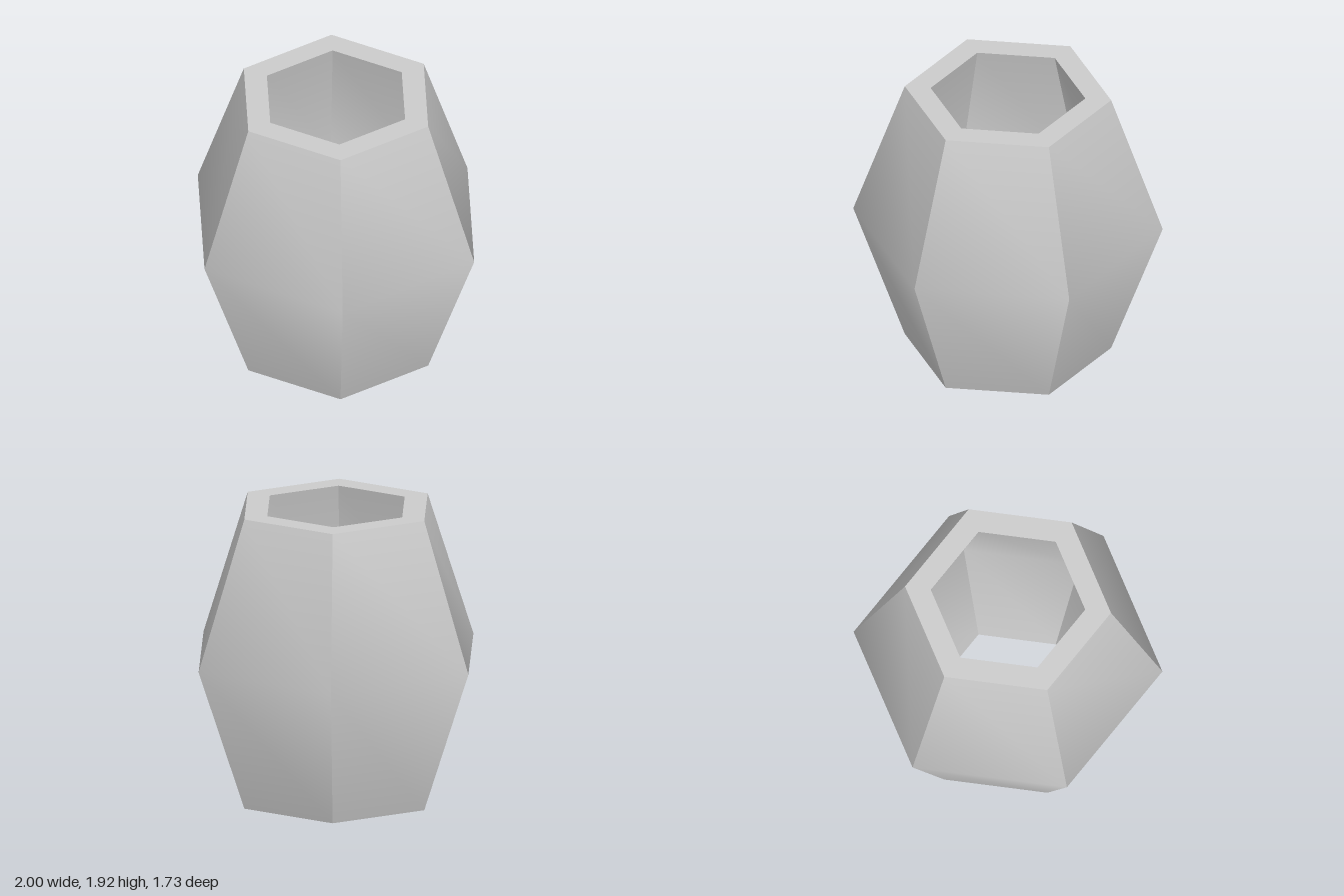
import * as THREE from 'three';
import { toCreasedNormals } from 'three/addons/utils/BufferGeometryUtils.js';

const HEIGHT = 1.925;
const BELLY = 0.95; // height of the widest ring

export function createModel() {
  const group = new THREE.Group();
  group.name = 'hexagonalBarrel';

  // Closed wall section: up the outside, across the top rim, down the bore, across the bottom rim
  const profile = [
    [0.667, 0], [1, BELLY], [0.667, HEIGHT],
    [0.5, HEIGHT], [0.75, BELLY], [0.5, 0], [0.667, 0],
  ].map(([r, y]) => new THREE.Vector2(r, y));

  // Six sides with corners on the x axis; smooth over the belly, sharp between sides
  const lathe = new THREE.LatheGeometry(profile, 6, Math.PI / 2);
  const geometry = toCreasedNormals(lathe, THREE.MathUtils.degToRad(45));

  const shell = new THREE.Mesh(geometry, new THREE.MeshStandardMaterial({ color: 0xcccccc }));
  shell.name = 'barrelShell';
  group.add(shell);
  return group;
}
